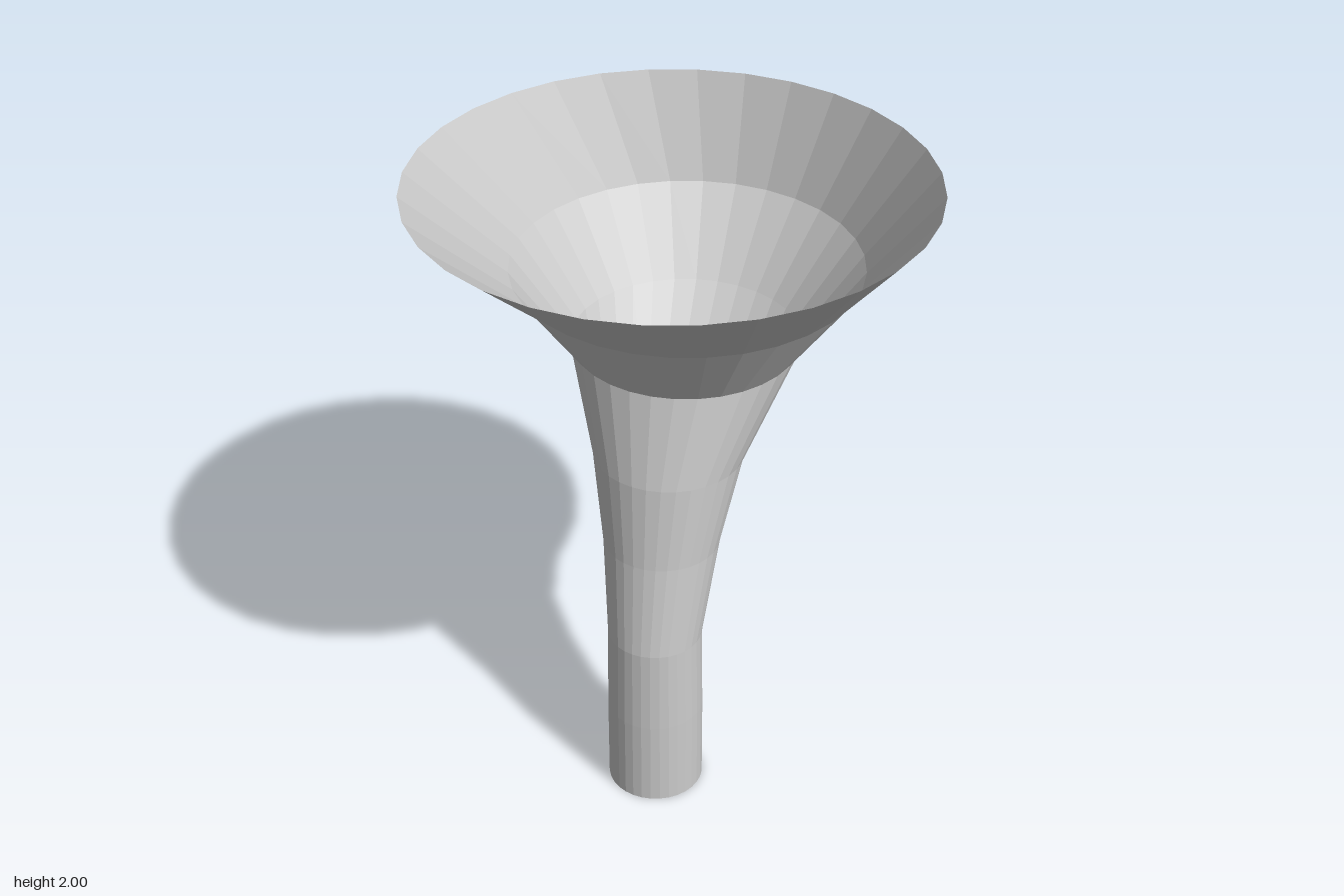
import * as THREE from 'three';

// Horizontal rings from foot to rim: [height, radius, z of centre]
const RINGS = [
  [0, 0.148, 0.178],
  [0.29, 0.148, 0.178],
  [0.57, 0.144, 0.178],
  [0.87, 0.176, 0.106],
  [1.14, 0.226, 0.032],
  [1.43, 0.342, -0.138],
  [1.67, 0.52, -0.15],
  [2, 0.757, 0],
];
const SIDES = 32;

export function createModel() {
  const group = new THREE.Group();
  group.name = 'funnel';

  // Open tube whose rings are resized and shifted to form the bent horn
  const bands = RINGS.length - 1;
  const geometry = new THREE.CylinderGeometry(1, 1, bands, SIDES, bands, true);
  const pos = geometry.attributes.position;
  for (let i = 0; i < pos.count; i++) {
    const [y, radius, z] = RINGS[Math.round(pos.getY(i) + bands / 2)];
    pos.setXYZ(i, pos.getX(i) * radius, y, pos.getZ(i) * radius + z);
  }
  geometry.computeVertexNormals();

  const material = new THREE.MeshStandardMaterial({
    color: 0xcccccc, flatShading: true, side: THREE.DoubleSide,
  });
  const horn = new THREE.Mesh(geometry, material);
  horn.name = 'hornShell';
  group.add(horn);
  return group;
}
